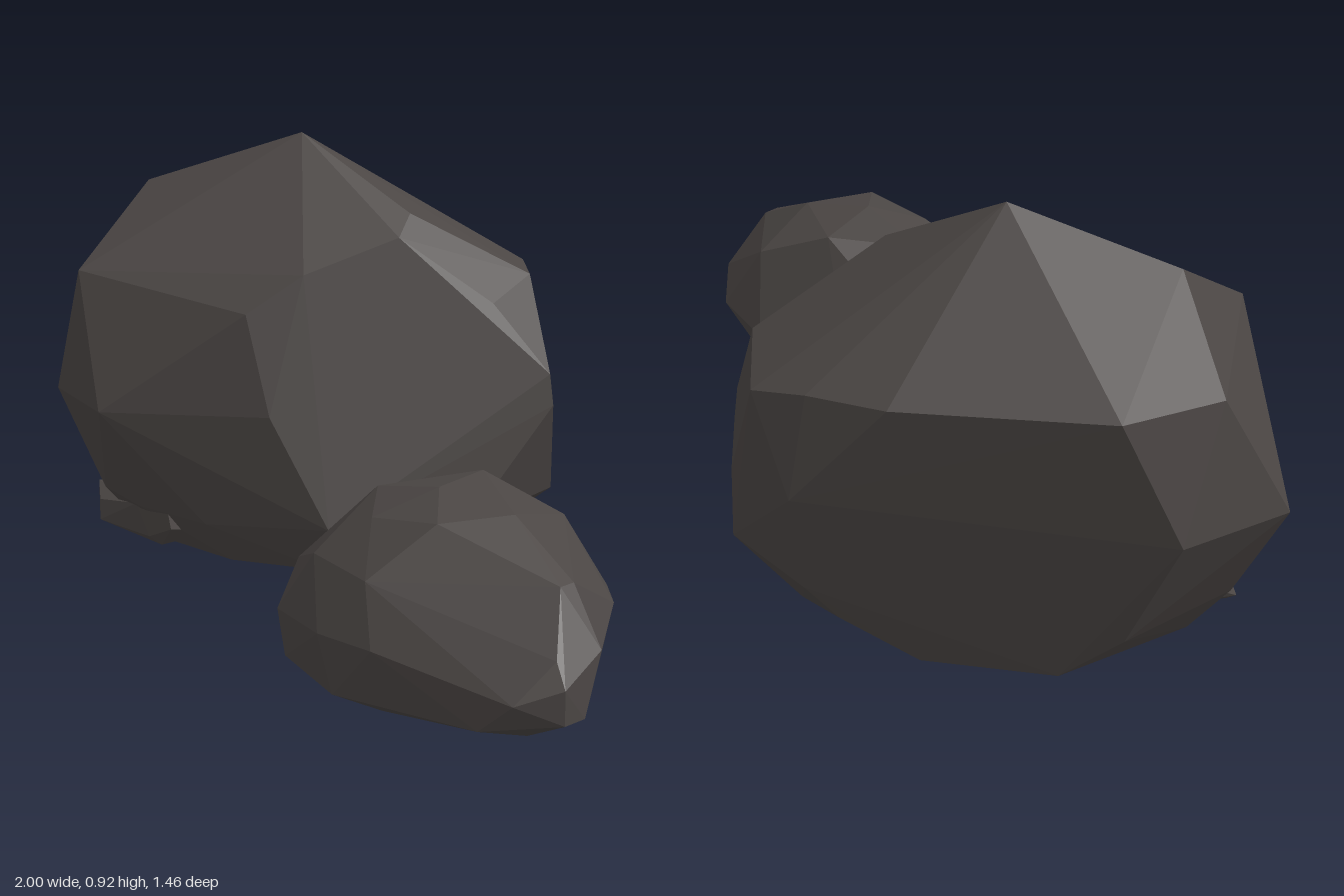
import * as THREE from 'three';
import { ConvexGeometry } from 'three/addons/geometries/ConvexGeometry.js';

// A faceted boulder: the convex hull of a few corner points
function boulder(name, corners, material) {
  const points = corners.map(([x, y, z]) => new THREE.Vector3(x, y, z));
  const mesh = new THREE.Mesh(new ConvexGeometry(points), material);
  mesh.name = name;
  return mesh;
}

export function createModel() {
  const group = new THREE.Group();
  group.name = 'boulders';
  const stone = new THREE.MeshStandardMaterial({ color: 0x4b4644, flatShading: true });
  stone.name = 'dark stone';

  // Large boulder, with a broad wall at the back and a flat side towards +x
  group.add(boulder('largeBoulder', [
    // crown
    [-0.42, 0.92, -0.23], [-0.72, 0.8, -0.04], [-0.12, 0.77, -0.26],
    // shoulder
    [-0.67, 0.64, 0.23], [-0.95, 0.64, -0.19], [-0.87, 0.64, -0.41], [-0.48, 0.63, -0.65],
    [-0.3, 0.62, -0.69], [-0.16, 0.59, -0.7], [0.01, 0.61, -0.52],
    // flat side
    [-0.09, 0.73, -0.19], [-0.2, 0.66, 0], [-0.27, 0.58, 0.11], [-0.2, 0.36, 0.11],
    [-0.09, 0.11, 0.04], [0.06, 0.09, -0.25], [0.07, 0.12, -0.53], [0.14, 0.34, -0.45],
    [0.13, 0.41, -0.45], [0.03, 0.57, -0.37],
    // waist
    [-0.54, 0.35, 0.3], [-0.8, 0.34, 0.18], [-1, 0.35, -0.03], [-0.95, 0.36, -0.31],
    [-0.29, 0.4, -0.73], [-0.04, 0.35, -0.64], [-0.34, 0.36, 0.18],
    // foot
    [-0.84, 0.1, 0], [-0.66, 0.13, 0.17], [-0.54, 0.11, 0.18], [-0.35, 0.1, 0.16],
    [-0.03, 0.19, -0.63], [-0.28, 0.18, -0.68], [-0.32, 0.1, -0.62], [-0.81, 0.1, -0.31],
    // base
    [-0.76, 0, -0.04], [-0.62, 0, 0.06], [-0.35, 0, 0.08], [-0.14, 0, 0],
    [-0.04, 0, -0.28], [-0.08, 0, -0.48], [-0.44, 0, -0.51], [-0.69, 0, -0.37],
  ], stone));

  // Low boulder
  group.add(boulder('lowBoulder', [
    // crown
    [0.57, 0.42, 0.43], [0.53, 0.41, 0.25], [0.74, 0.39, 0.4], [0.38, 0.38, 0.4],
    [0.5, 0.37, 0.55], [0.67, 0.39, 0.55],
    // shoulder
    [0.29, 0.3, 0.21], [0.7, 0.34, 0.2], [0.6, 0.29, 0.68], [0.4, 0.29, 0.61],
    // end facet
    [0.92, 0.3, 0.44], [0.92, 0.3, 0.48], [0.97, 0.18, 0.55], [1, 0.13, 0.56],
    [1, 0.06, 0.5], [0.99, 0.18, 0.44],
    // waist
    [0.17, 0.19, 0.41], [0.2, 0.23, 0.29], [0.36, 0.19, 0.13], [0.62, 0.18, 0.11],
    [0.78, 0.2, 0.16], [0.9, 0.22, 0.29], [0.65, 0.17, 0.72], [0.52, 0.18, 0.73],
    [0.29, 0.15, 0.6],
    // foot
    [0.23, 0.09, 0.45], [0.32, 0.06, 0.61], [0.55, 0.06, 0.72], [0.86, 0.04, 0.65],
    [0.93, 0.1, 0.63], [1, 0.06, 0.56], [0.62, 0.1, 0.14], [0.4, 0.1, 0.16],
    // base
    [0.3, 0.015, 0.4], [0.4, 0.015, 0.59], [0.6, 0.015, 0.63], [0.9, 0.015, 0.55],
    [0.88, 0.015, 0.36], [0.65, 0.015, 0.22], [0.4, 0.015, 0.24],
  ], stone));

  // Small slab half tucked under the front of the large boulder
  group.add(boulder('smallSlab', [
    [-0.84, 0.08, 0.02], [-0.72, 0.08, 0.13], [-0.56, 0.11, 0.17], [-0.46, 0.11, 0.17],
    [-0.45, 0.07, 0.17], [-0.52, 0.04, 0.17], [-0.7, 0.04, 0.15], [-0.8, 0.05, 0.04],
    [-0.71, 0.02, 0.1], [-0.5, 0.02, 0.15], [-0.46, 0.03, 0], [-0.7, 0.03, -0.05],
    [-0.5, 0.11, 0], [-0.7, 0.1, -0.05],
  ], stone));

  return group;
}
